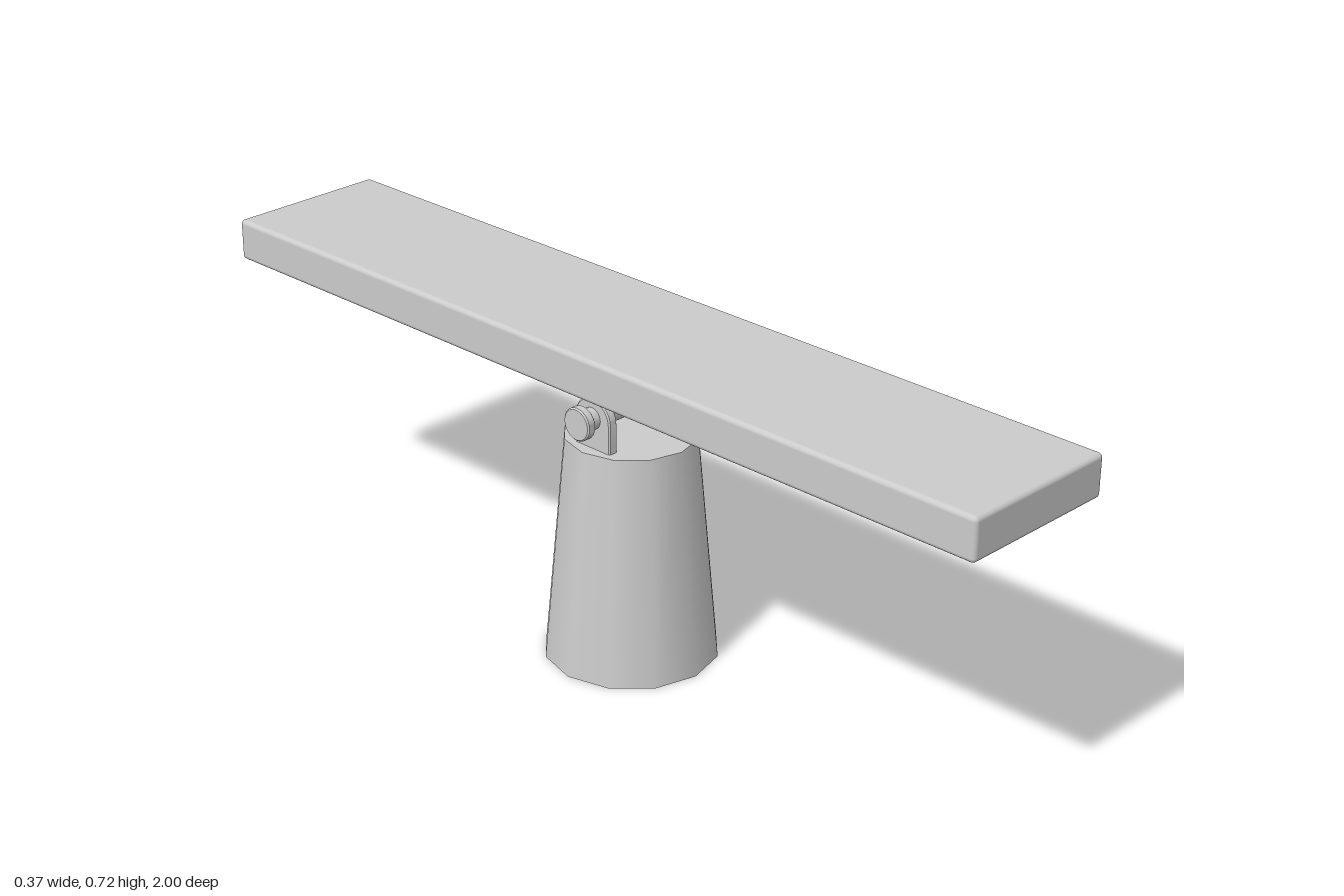
import * as THREE from 'three';
import { RoundedBoxGeometry } from 'three/addons/geometries/RoundedBoxGeometry.js';
import { toCreasedNormals } from 'three/addons/utils/BufferGeometryUtils.js';

const AXLE_Y = 0.555;

export function createModel() {
  const model = new THREE.Group();
  model.name = 'seesaw';
  const material = new THREE.MeshStandardMaterial({ color: 0xcccccc });

  const add = (name, geometry, x = 0, y = 0, z = 0) => {
    const mesh = new THREE.Mesh(geometry, material);
    mesh.name = name;
    mesh.position.set(x, y, z);
    model.add(mesh);
    return mesh;
  };

  // Tapered twelve-sided pedestal
  add('pedestal', new THREE.CylinderGeometry(0.138, 0.183, 0.49, 12), 0, 0.245);

  // Long plank with softened edges
  add('plank', new RoundedBoxGeometry(0.364, 0.09, 2, 3, 0.01), 0, 0.675);

  // Axle across the pedestal
  add('axle', new THREE.CylinderGeometry(0.023, 0.023, 0.28, 24).rotateZ(Math.PI / 2), 0, AXLE_Y);

  // Round-topped bracket outline, thickened along x
  const r = 0.048, archY = 0.55;
  const outline = new THREE.Shape();
  outline.moveTo(-r, 0.485);
  outline.lineTo(r, 0.485);
  outline.lineTo(r, archY);
  outline.absarc(0, archY, r, 0, Math.PI, false);
  outline.closePath();
  const bracket = toCreasedNormals(
    new THREE.ExtrudeGeometry(outline, {
      depth: 0.016, curveSegments: 16,
      bevelThickness: 0.003, bevelSize: 0.003, bevelOffset: -0.003, bevelSegments: 1,
    }).translate(0, 0, -0.008).rotateY(Math.PI / 2), 0.6);

  // End cap profile with rounded rims, turned onto the x axis
  const profile = [[0, -0.0105], [0.032, -0.0105], [0.035, -0.0075], [0.035, 0.0075], [0.032, 0.0105], [0, 0.0105]];
  const cap = toCreasedNormals(
    new THREE.LatheGeometry(profile.map(([a, b]) => new THREE.Vector2(a, b)), 24).rotateZ(Math.PI / 2), 0.6);

  // Paired parts on each side
  for (const [side, s] of [['left', 1], ['right', -1]]) {
    add(side + 'Bracket', bracket, s * 0.099);
    add(side + 'AxleCap', cap, s * 0.1435, AXLE_Y);
    add(side + 'Strut', new THREE.BoxGeometry(0.03, 0.064, 0.03), s * 0.053, 0.605);
  }
  return model;
}
